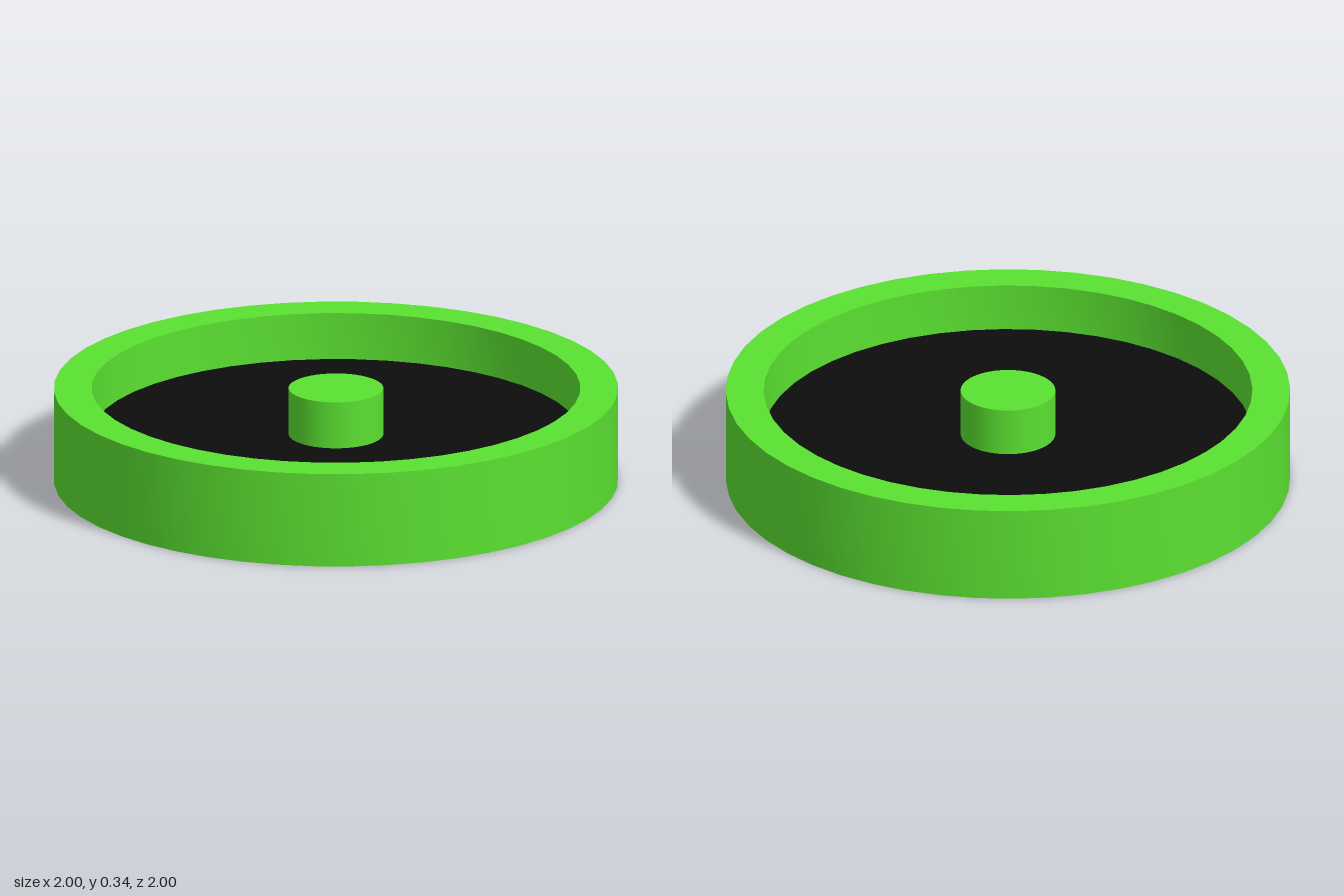
import * as THREE from 'three';
import { toCreasedNormals } from 'three/addons/utils/BufferGeometryUtils.js';

const SEGMENTS = 48;
const HEIGHT = 0.343;
const FLOOR_Y = 0.172;
const INNER_RADIUS = 0.866;
const HUB_RADIUS = 0.168;

export function createModel() {
  const group = new THREE.Group();
  const green = new THREE.MeshStandardMaterial({ color: 0x5ae030 });
  const black = new THREE.MeshStandardMaterial({ color: 0x0d0d0d });

  const add = (name, geometry, material) => {
    const mesh = new THREE.Mesh(geometry, material);
    mesh.name = name;
    group.add(mesh);
    return mesh;
  };

  // Round tray: underside, outer wall, flat rim and inner wall
  const profile = [
    [0, 0], [1, 0], [1, HEIGHT], [INNER_RADIUS, HEIGHT], [INNER_RADIUS, FLOOR_Y],
  ].map(([r, y]) => new THREE.Vector2(r, y));
  add('tray', toCreasedNormals(new THREE.LatheGeometry(profile, SEGMENTS), Math.PI / 6), green);

  // Dark recessed floor
  const floor = add('floor', new THREE.CircleGeometry(INNER_RADIUS, SEGMENTS), black);
  floor.rotation.x = -Math.PI / 2;
  floor.position.y = FLOOR_Y;

  // Centre post, level with the rim
  const hubHeight = HEIGHT - FLOOR_Y;
  const hub = add('hub', new THREE.CylinderGeometry(HUB_RADIUS, HUB_RADIUS, hubHeight, SEGMENTS), green);
  hub.position.y = FLOOR_Y + hubHeight / 2;

  return group;
}
